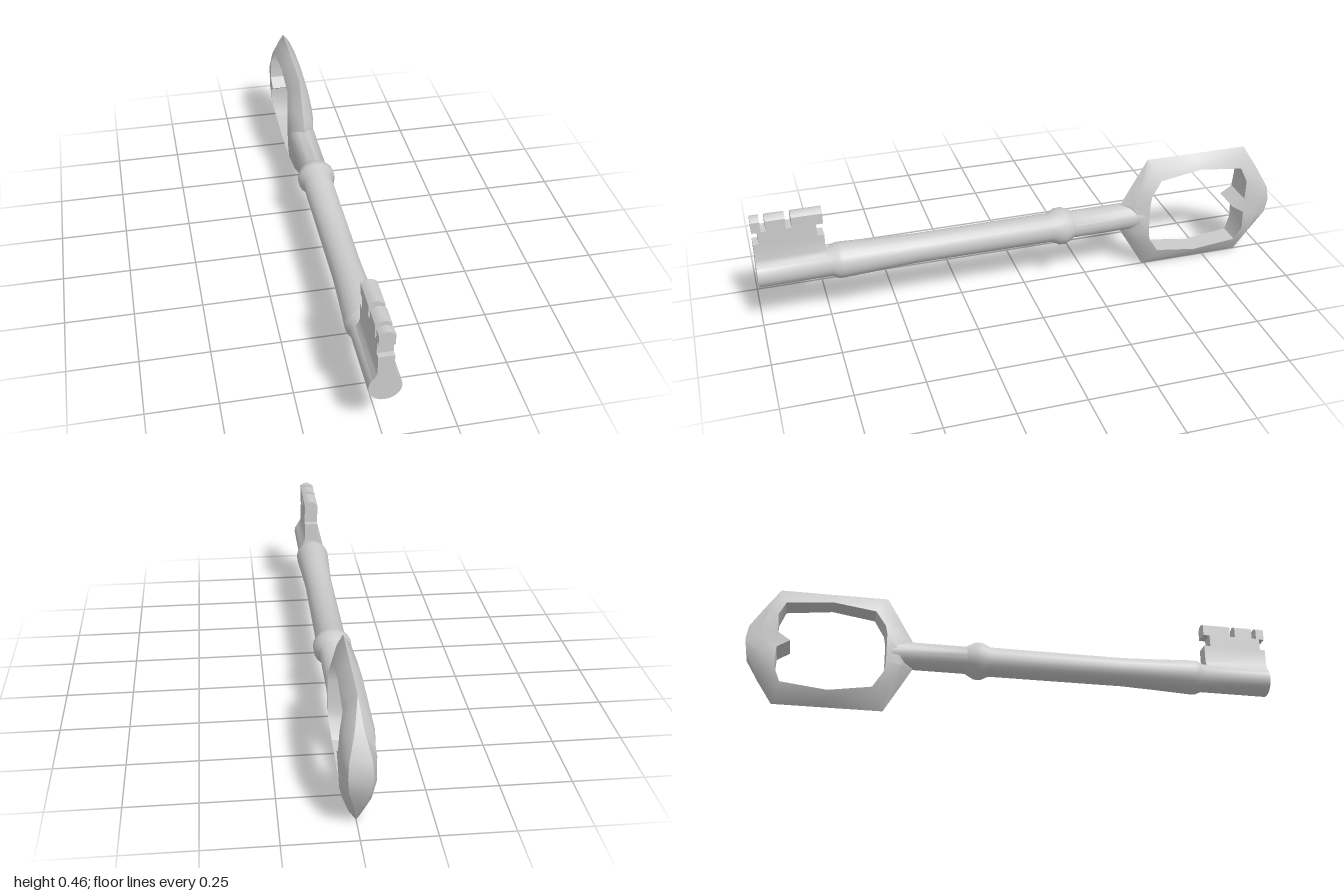
import * as THREE from 'three';
import { toCreasedNormals } from 'three/addons/utils/BufferGeometryUtils.js';

const AXIS = 0.231; // height of the shaft axis

export function createModel() {
  const key = new THREE.Group();
  key.name = 'key';
  const material = new THREE.MeshStandardMaterial({ color: 0xcccccc });

  const add = (name, geometry, crease = 0.6) => {
    const mesh = new THREE.Mesh(toCreasedNormals(geometry, crease), material);
    mesh.name = name;
    mesh.position.y = AXIS;
    key.add(mesh);
  };

  // Turned shaft with its collars: [radius, z]
  const profile = [
    [0, -0.47], [0.052, -0.47], [0.052, -0.19], [0.055, -0.185], [0.071, -0.155], [0.071, -0.13],
    [0.056, -0.1], [0.055, 0.42], [0.06, 0.55], [0.067, 0.695], [0.066, 0.712], [0.055, 0.735],
    [0.055, 1], [0, 1],
  ].map(([r, z]) => new THREE.Vector2(r, z));
  add('shaft', new THREE.LatheGeometry(profile, 20).rotateX(Math.PI / 2));

  // Bit: mirrored cross-sections pushed along z (half outline, y from the axis)
  const bar = (name, half, z0, z1) => {
    const outline = [...half, ...half.filter(([x]) => x > 0).reverse().map(([x, y]) => [-x, y])];
    const shape = new THREE.Shape(outline.map(([x, y]) => new THREE.Vector2(x, y)));
    const geometry = new THREE.ExtrudeGeometry(shape, { depth: z1 - z0, bevelEnabled: false });
    add(name, geometry.translate(0, 0, z0));
  };
  const blade = [[0.048, 0.02], [0.04, 0.038], [0.031, 0.052], [0.027, 0.065], [0.027, 0.13]];
  const neck = [[0.027, 0.12], [0.027, 0.178]];
  const tooth = [[0.027, 0.176], [0.027, 0.217], [0.014, 0.227], [0, 0.231]];
  bar('bitBlade', blade, 0.75, 1);
  bar('bitNeck', neck, 0.775, 0.98);
  [[0.75, 0.86], [0.88, 0.95], [0.968, 1]].forEach(([z0, z1], i) => bar(`bitTooth${i + 1}`, tooth, z0, z1));

  add('bow', bowGeometry(), 0.65);
  return key;
}

// Pierced handle: a ridged section swept round a closed loop
function bowGeometry() {
  // inner z, y, outer z, y, then half widths at the inner edge, middle and outer edge
  const upper = [
    [-0.49, 0, -0.42, 0, 0.053, 0.051, 0.045],
    [-0.49, 0.058, -0.388, 0.055, 0.053, 0.04, 0],
    [-0.497, 0.094, -0.43, 0.128, 0.05, 0.033, 0],
    [-0.535, 0.154, -0.49, 0.231, 0.042, 0.024, 0],
    [-0.695, 0.178, -0.69, 0.231, 0.04, 0.022, 0],
    [-0.866, 0.159, -0.89, 0.231, 0.043, 0.024, 0],
    [-0.89, 0.104, -0.945, 0.142, 0.055, 0.044, 0.014],
    [-0.886, 0.03, -0.992, 0.055, 0.059, 0.055, 0.036],
    [-0.84, 0, -1, 0, 0.058, 0.056, 0.04],
  ];
  const lower = upper.slice(1, -1).reverse().map(([zi, yi, zo, yo, ...w]) => [zi, -yi, zo, -yo, ...w]);
  const stations = [...upper, ...lower];
  const steps = [0, 0.6, 1];

  const positions = [];
  for (const [zi, yi, zo, yo, ...w] of stations) {
    const side = steps.map((t, k) => [w[k], yi + (yo - yi) * t, zi + (zo - zi) * t]);
    const section = [...side, ...side.map(([x, y, z]) => [-x, y, z]).reverse()];
    positions.push(...section.flat());
  }

  const n = steps.length * 2;
  const index = [];
  stations.forEach((_, i) => {
    const next = (i + 1) % stations.length;
    for (let j = 0; j < n; j++) {
      const k = (j + 1) % n;
      const a = i * n + j, b = next * n + j, c = next * n + k, d = i * n + k;
      index.push(a, b, c, a, c, d);
    }
  });

  const geometry = new THREE.BufferGeometry();
  geometry.setAttribute('position', new THREE.Float32BufferAttribute(positions, 3));
  geometry.setIndex(index);
  return geometry;
}
